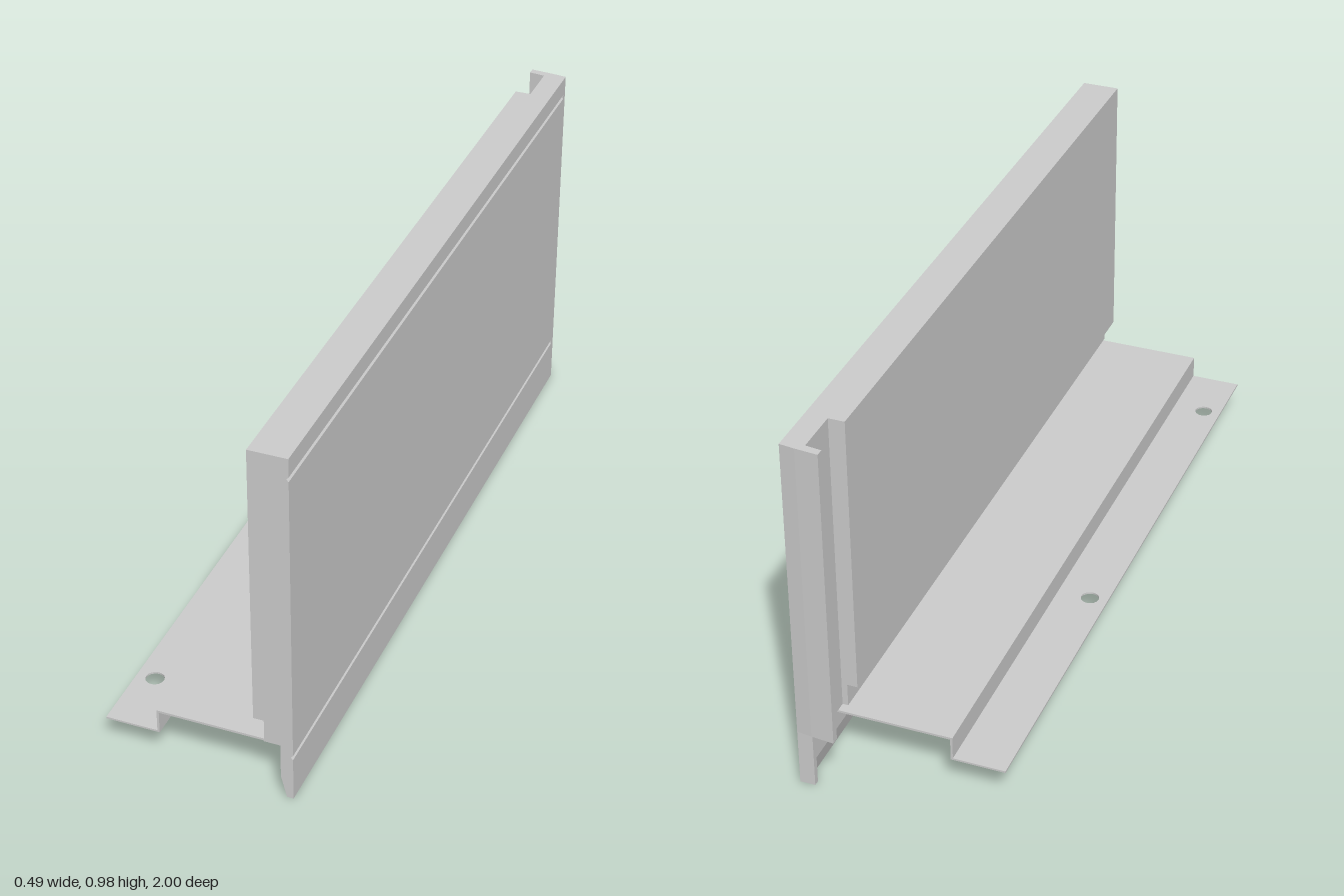
import * as THREE from 'three';

const material = new THREE.MeshStandardMaterial({ color: 0xcccccc });

const shapeOf = (points) => new THREE.Shape(points.map(([x, y]) => new THREE.Vector2(x, y)));

function addMesh(group, name, geometry) {
  const mesh = new THREE.Mesh(geometry, material);
  mesh.name = name;
  group.add(mesh);
  return mesh;
}

// Profile in x/y, swept along z
function sweep(points, z0, z1) {
  const g = new THREE.ExtrudeGeometry(shapeOf(points), { depth: z1 - z0, bevelEnabled: false });
  return g.translate(0, 0, z0);
}

// Plan shape given as (x, -z), raised from y0 to y1
function raise(shape, y0, y1) {
  const g = new THREE.ExtrudeGeometry(shape, { depth: y1 - y0, bevelEnabled: false });
  return g.rotateX(-Math.PI / 2).translate(0, y0, 0);
}

// V-shaped groove in the outer face
const groove = (y) => [[0.245, y - 0.006], [0.239, y], [0.245, y + 0.006]];

// Outer face and tapered skirt, shared by the panel and its narrow neck
const outerProfile = [
  [0.213, 0.155], [0.213, 0.06], [0.228, 0], [0.245, 0],
  ...groove(0.126), ...groove(0.925), [0.245, 0.98],
];

export function createModel() {
  const model = new THREE.Group();
  model.name = 'panelWithBracket';

  // Upright panel with a rebate along its lower inner edge
  addMesh(model, 'panel', sweep(
    [...outerProfile, [0.145, 0.98], [0.145, 0.218], [0.172, 0.218], [0.172, 0.155]], -0.855, 1));

  // Thinner neck behind the panel
  addMesh(model, 'panelNeck', sweep(
    [...outerProfile, [0.187, 0.98], [0.187, 0.155]], -0.975, -0.855));

  // Hooked flange closing the back end
  addMesh(model, 'endFlange', raise(shapeOf([
    [0.145, 0.98], [0.187, 0.975], [0.245, 0.975], [0.245, 0.99], [0.205, 0.995], [0.145, 1],
  ]), 0.155, 0.98));
  addMesh(model, 'endFlangeFoot', raise(shapeOf([
    [0.205, 0.975], [0.245, 0.975], [0.245, 0.99], [0.205, 0.99],
  ]), 0, 0.155));

  // Stepped sheet bracket: shelf and riser
  const bracket = new THREE.Group();
  bracket.name = 'bracket';
  model.add(bracket);
  addMesh(bracket, 'bracketShelf', sweep([
    [-0.112, 0.087], [-0.106, 0.087], [-0.106, 0.148], [0.214, 0.148],
    [0.214, 0.154], [-0.112, 0.154],
  ], -0.88, 0.99));

  // Foot of the bracket with two fixing holes
  const foot = shapeOf([[-0.248, -0.99], [-0.112, -0.99], [-0.112, 0.88], [-0.248, 0.88]]);
  for (const z of [-0.155, 0.815]) {
    foot.holes.push(new THREE.Path().absarc(-0.2, -z, 0.024, 0, Math.PI * 2, true));
  }
  addMesh(bracket, 'bracketFoot', raise(foot, 0.087, 0.092));

  return model;
}
